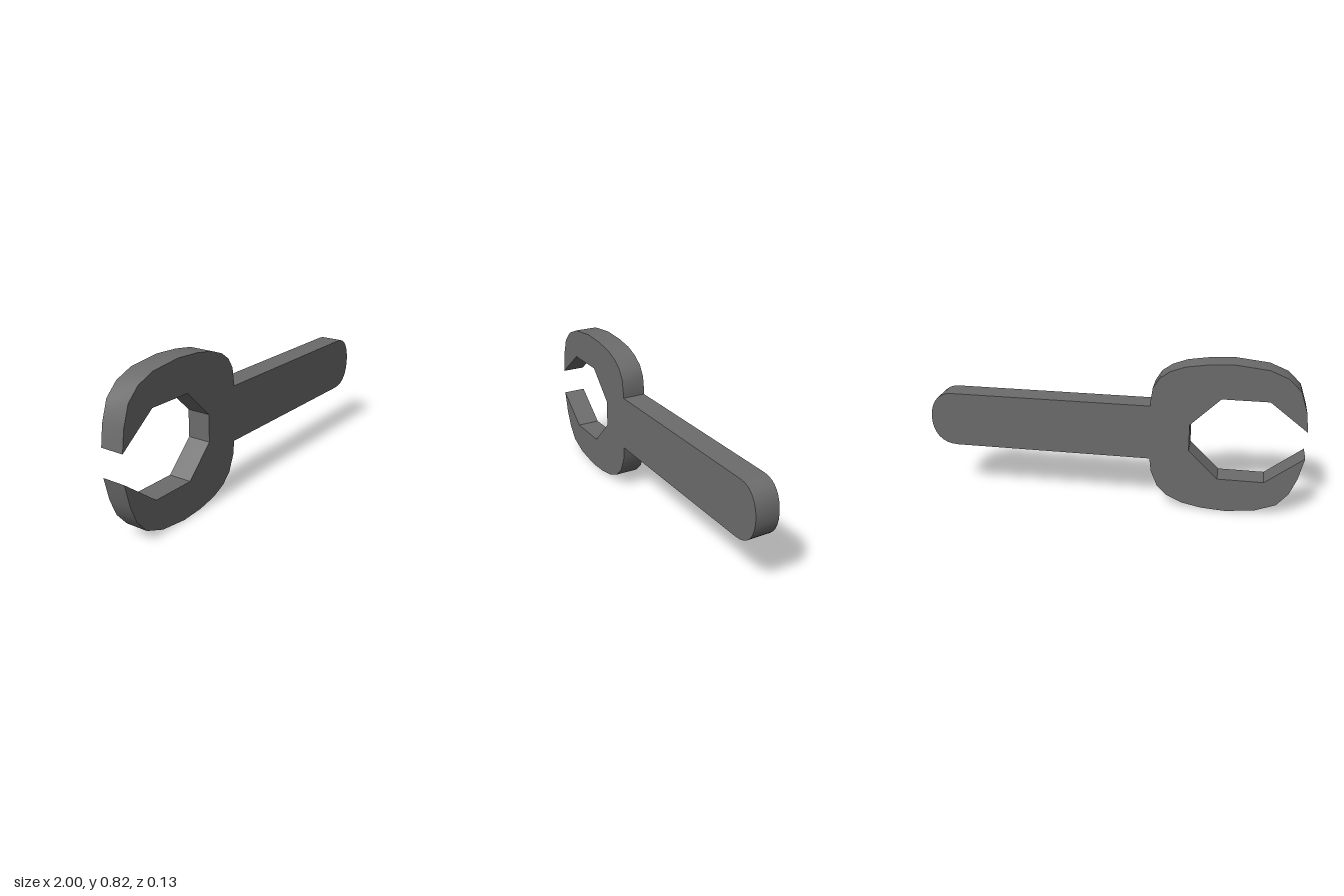
import * as THREE from 'three';
import { toCreasedNormals } from 'three/addons/utils/BufferGeometryUtils.js';

const THICKNESS = 0.128;
const HANDLE_TOP = 0.576, HANDLE_BOTTOM = 0.278;
const MIDDLE = (HANDLE_TOP + HANDLE_BOTTOM) / 2;

// Outline sections, in order around the wrench
const upperJaw = [
  [-1, 0.485], [-0.985, 0.595], [-0.95, 0.7], [-0.885, 0.764], [-0.79, 0.803], [-0.62, 0.822],
  [-0.485, 0.815], [-0.375, 0.798], [-0.297, 0.769], [-0.243, 0.73], [-0.21, 0.676], [-0.2, 0.607],
];
const lowerJaw = [
  [-0.208, 0.205], [-0.243, 0.12], [-0.297, 0.067], [-0.377, 0.03], [-0.484, 0.008], [-0.61, 0],
  [-0.767, 0.018], [-0.875, 0.06], [-0.935, 0.13], [-0.972, 0.22], [-1, 0.34],
];
const mouth = [
  [-0.803, 0.187], [-0.56, 0.187], [-0.405, 0.34], [-0.405, 0.485], [-0.56, 0.637], [-0.803, 0.637],
];

export function createModel() {
  const group = new THREE.Group();
  group.name = 'openEndWrench';

  // Upper jaw, then the straight handle with its rounded end
  const shape = new THREE.Shape();
  shape.moveTo(...upperJaw[0]);
  upperJaw.slice(1).forEach((p) => shape.lineTo(...p));
  shape.lineTo(-0.2, HANDLE_TOP);
  shape.lineTo(0.88, HANDLE_TOP);
  shape.bezierCurveTo(0.96, HANDLE_TOP, 1, MIDDLE + 0.08, 1, MIDDLE);
  shape.bezierCurveTo(1, MIDDLE - 0.08, 0.96, HANDLE_BOTTOM, 0.86, HANDLE_BOTTOM);
  shape.lineTo(-0.2, HANDLE_BOTTOM);

  // Lower jaw and the angular mouth
  [...lowerJaw, ...mouth].forEach((p) => shape.lineTo(...p));

  const plate = new THREE.ExtrudeGeometry(shape, { depth: THICKNESS, bevelEnabled: false, curveSegments: 8 });
  plate.translate(0, 0, -THICKNESS / 2);

  const material = new THREE.MeshStandardMaterial({ color: 0x6c6c6c });
  const wrench = new THREE.Mesh(toCreasedNormals(plate, THREE.MathUtils.degToRad(35)), material);
  wrench.name = 'wrenchBody';
  group.add(wrench);
  return group;
}
